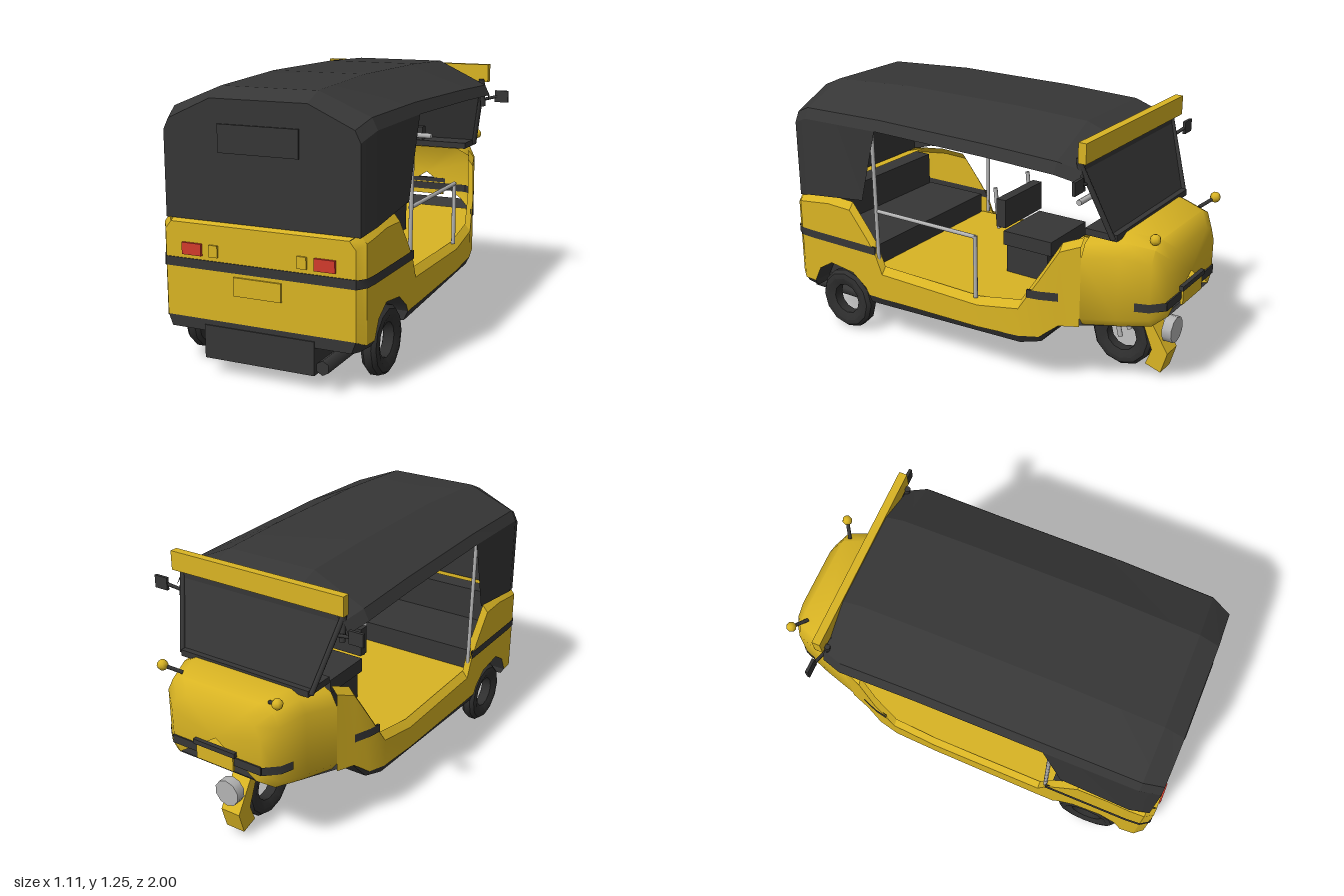
import * as THREE from 'three';
import { toCreasedNormals } from 'three/addons/utils/BufferGeometryUtils.js';

const paint = (name, color) => new THREE.MeshStandardMaterial({ name, color, side: THREE.DoubleSide });
const V = (x, y, z) => new THREE.Vector3(x, y, z);

export function createModel() {
  const model = new THREE.Group();
  model.name = 'autoRickshaw';
  const yellow = paint('bodyYellow', 0xd9b423), dark = paint('canvasDark', 0x363636);
  const rubber = paint('rubberBlack', 0x2f2f2f), red = paint('lampRed', 0xd23a2c);
  const steel = paint('steelGrey', 0xb4b4b4);

  const add = (name, geo, mat, x = 0, y = 0, z = 0) => {
    const m = new THREE.Mesh(geo, mat);
    m.name = name;
    m.position.set(x, y, z);
    model.add(m);
    return m;
  };
  // box given by its min and max on each axis
  const box = (name, mat, x0, x1, y0, y1, z0, z1) => add(name,
    new THREE.BoxGeometry(x1 - x0, y1 - y0, z1 - z0), mat, (x0 + x1) / 2, (y0 + y1) / 2, (z0 + z1) / 2);
  // skin stretched over equal-length rows of [x, y, z] points
  const skin = (name, mat, rows, crease = 0.55) => {
    const pos = [], idx = [], n = rows[0].length;
    rows.forEach(r => r.forEach(p => pos.push(...p)));
    for (let i = 0; i < rows.length - 1; i++) for (let j = 0; j < n - 1; j++) {
      const a = i * n + j, b = a + 1, d = a + n, c = d + 1;
      idx.push(a, b, c, a, c, d);
    }
    const g = new THREE.BufferGeometry();
    g.setAttribute('position', new THREE.Float32BufferAttribute(pos, 3));
    g.setIndex(idx);
    return add(name, toCreasedNormals(g, crease), mat);
  };
  // the same skin on both flanks
  const flanks = (name, mat, rows) => {
    skin(name + 'Left', mat, rows);
    skin(name + 'Right', mat, rows.map(r => r.map(([x, y, z]) => [-x, y, z]).reverse()));
  };
  const arch = half => [...half, ...half.map(([x, y, z]) => [-x, y, z]).reverse()];
  const rod = (name, mat, a, b, r = 0.01, sides = 8) => {
    const d = b.clone().sub(a);
    const m = add(name, new THREE.CylinderGeometry(r, r, d.length(), sides), mat);
    m.position.copy(a).addScaledVector(d, 0.5);
    m.quaternion.setFromUnitVectors(V(0, 1, 0), d.normalize());
    return m;
  };

  // Nose shell: [z, half width, bottom, top]
  const nose = [[-0.98, 0.24, 0.42, 0.715], [-0.93, 0.3, 0.382, 0.77], [-0.8, 0.345, 0.365, 0.79], [-0.64, 0.39, 0.348, 0.765]];
  const noseRows = nose.map(([z, w, b, t]) => arch([[w - 0.03, b, z], [w, b + 0.04, z], [w, t - 0.09, z], [w - 0.03, t - 0.03, z], [w - 0.09, t, z]]));
  skin('nose', yellow, [noseRows[0].map(() => [0, 0.56, -0.982]), ...noseRows], 0.8);

  // Side walls, dipping to the sill and arching over the rear wheels
  const wall = [[-0.64, 0.39, 0.348, 0.765], [-0.55, 0.42, 0.34, 0.73], [-0.47, 0.45, 0.275, 0.59], [-0.37, 0.47, 0.26, 0.43],
    [-0.15, 0.475, 0.245, 0.39], [0.41, 0.48, 0.235, 0.4], [0.45, 0.48, 0.235, 0.5], [0.5, 0.48, 0.235, 0.57],
    [0.52, 0.48, 0.27, 0.595], [0.6, 0.48, 0.33, 0.695], [0.74, 0.48, 0.348, 0.7], [0.82, 0.48, 0.3, 0.69],
    [0.86, 0.48, 0.22, 0.685], [0.93, 0.475, 0.22, 0.675], [0.97, 0.445, 0.24, 0.655]];
  flanks('sideWall', yellow, wall.map(([z, w, b, t]) => [[w, b, z], [w, t - 0.035, z], [w - 0.028, t, z]]));
  skin('rearWall', yellow, [0.24, 0.62, 0.655].map((y, i) => [[-0.445 + (i > 1) * 0.028, y, 0.97], [0.445 - (i > 1) * 0.028, y, 0.97]]));
  skin('rearShelf', yellow, [[[0.45, 0.685, 0.86], [-0.45, 0.685, 0.86]], [[0.417, 0.655, 0.97], [-0.417, 0.655, 0.97]]]);

  // Floor, underside and wheel wells
  skin('floor', yellow, [[-0.9, 0.27], [-0.55, 0.4], [-0.37, 0.445], [0.41, 0.455], [0.95, 0.44]].map(([z, w]) => [[w, 0.385, z], [-w, 0.385, z]]));
  skin('underside', dark, [[-0.98, 0.21, 0.42, 0], [-0.93, 0.27, 0.382, 0], [-0.55, 0.41, 0.34, 0], [-0.47, 0.45, 0.275, 0.03],
    [-0.37, 0.47, 0.26, 0.04], [0.5, 0.48, 0.235, 0.045], [0.5, 0.38, 0.235, 0.045], [0.86, 0.38, 0.235, 0.045],
    [0.86, 0.48, 0.22, 0.03], [0.94, 0.465, 0.225, 0.035], [0.97, 0.445, 0.24, 0.05]]
    .map(([z, w, y, d]) => arch([[-w, y, z], [-(w - 0.02), y - d, z]])), 0.2);
  skin('rearValance', dark, [[[-0.425, 0.19, 0.97], [0.425, 0.19, 0.97]], [[-0.445, 0.24, 0.97], [0.445, 0.24, 0.97]]]);
  flanks('wheelArch', dark, wall.slice(7, 13).map(([z, w, b]) => [[0.37, b, z], [w, b, z]]));
  box('wheelWell', dark, -0.375, 0.375, 0.2, 0.365, 0.5, 0.87);

  // Dark waist stripes, on the outer and inner faces
  for (const o of [0.004, -0.004]) {
    const band = path => path.map(([z, w]) => [[w + o, 0.46, z], [w + o, 0.5, z]]);
    flanks('rearStripe', dark, band([[0.445, 0.48], [0.86, 0.48], [0.93, 0.475], [0.97 + o, 0.445]]));
    flanks('flareStripe', dark, band([[-0.55, 0.42], [-0.47, 0.45], [-0.41, 0.462]]));
    flanks('noseStripe', dark, band([[-0.981 - o, 0.24], [-0.93, 0.3], [-0.87, 0.321]]));
  }
  box('rearStripe', dark, -0.447, 0.447, 0.46, 0.5, 0.966, 0.974);
  box('noseStripe', dark, -0.24, 0.24, 0.46, 0.5, -0.987, -0.979);

  // Canvas roof: [z, half width, edge height, crown height]
  const roof = [[-0.66, 0.46, 1.04, 1.2], [-0.56, 0.495, 1.07, 1.235], [-0.2, 0.49, 1.08, 1.248], [0.4, 0.49, 1.09, 1.25],
    [0.85, 0.485, 1.08, 1.225], [0.945, 0.455, 1.04, 1.183]]
    .map(([z, w, e, c]) => arch([[w, e, z], [w - 0.025, e + 0.05, z], [0.225, c, z]]));
  skin('roof', dark, roof, 0.2);
  flanks('sideCurtain', dark, [[[0.484, 0.73, 0.51], [0.49, 1.09, 0.41]], [[0.484, 0.69, 0.85], [0.485, 1.08, 0.85]], [[0.455, 0.665, 0.945], [0.455, 1.04, 0.945]]]);
  const back = new THREE.Shape([[-0.455, 0.665], [0.455, 0.665], [0.455, 1.04], [0.43, 1.09], [0.225, 1.183], [-0.225, 1.183], [-0.43, 1.09], [-0.455, 1.04]]
    .map(p => new THREE.Vector2(...p)));
  add('rearCurtain', new THREE.ShapeGeometry(back), dark, 0, 0, 0.945);
  box('rearWindow', dark, -0.187, 0.187, 0.96, 1.08, 0.945, 0.954);

  // Windscreen, header board and cowl
  skin('windscreen', dark, [[[0.35, 0.78, -0.765], [-0.35, 0.78, -0.765]], [[0.425, 1.13, -0.645], [-0.425, 1.13, -0.645]]]);
  skin('headerPanel', dark, [[[0.41, 1.04, -0.66], [-0.41, 1.04, -0.66]], [[0.41, 1.17, -0.66], [-0.41, 1.17, -0.66]]]);
  box('headerBoard', yellow, -0.455, 0.455, 1.125, 1.215, -0.688, -0.65);
  box('cowl', dark, -0.345, 0.345, 0.77, 0.8, -0.785, -0.63);
  box('instrumentPod', dark, -0.1, 0.1, 0.79, 0.87, -0.69, -0.64);

  for (const s of [-1, 1]) {
    rod('windscreenPillar', dark, V(s * 0.35, 0.78, -0.77), V(s * 0.43, 1.12, -0.645), 0.012);
    // Mirrors and indicators
    box('mirror', dark, s * 0.52 - 0.035, s * 0.52 + 0.035, 1.02, 1.08, -0.697, -0.683);
    rod('mirrorArm', dark, V(s * 0.42, 1.03, -0.67), V(s * 0.5, 1.05, -0.69), 0.008);
    rod('mirrorBracket', dark, V(s * 0.43, 1.0, -0.66), V(s * 0.425, 1.14, -0.64), 0.014);
    rod('indicatorStalk', dark, V(s * 0.235, 0.77, -0.9), V(s * 0.3, 0.8, -0.94), 0.009);
    add('indicator', new THREE.SphereGeometry(0.025, 8, 6), yellow, s * 0.308, 0.805, -0.945);
    // Tail lamps
    box('tailLamp', red, s * 0.312 - 0.047, s * 0.312 + 0.047, 0.518, 0.57, 0.968, 0.982);
    box('rearReflector', yellow, s * 0.208 - 0.021, s * 0.208 + 0.021, 0.518, 0.57, 0.968, 0.979);
    // Roof posts and seat posts
    rod('roofPost', steel, V(s * 0.462, 0.39, 0.44), V(s * 0.472, 1.1, 0.44));
    rod('seatPost', steel, V(s * 0.14, 0.6, -0.045), V(s * 0.14, 0.8, -0.025));
  }

  // Passenger rail on one side only
  rod('sideRail', steel, V(0.462, 0.685, 0.44), V(0.462, 0.685, -0.135));
  rod('sideRailPost', steel, V(0.462, 0.385, -0.135), V(0.462, 0.69, -0.135));

  // Seats
  box('driverSeatBase', dark, -0.14, 0.14, 0.385, 0.53, -0.32, -0.09);
  box('driverSeat', dark, -0.16, 0.16, 0.53, 0.6, -0.35, -0.085);
  box('driverBackrest', dark, -0.16, 0.16, 0.615, 0.755, -0.095, -0.045);
  box('passengerSeat', dark, -0.44, 0.44, 0.385, 0.49, 0.47, 0.92);
  box('passengerBackrest', dark, -0.43, 0.43, 0.49, 0.66, 0.82, 0.92);

  // Steering
  rod('steeringColumn', steel, V(0, 0.4, -0.6), V(0, 0.82, -0.52), 0.015);
  rod('handlebar', steel, V(-0.2, 0.845, -0.515), V(0.2, 0.845, -0.515), 0.014);

  // Number plates and nose trim
  box('rearPlate', yellow, -0.112, 0.112, 0.363, 0.444, 0.968, 0.979);
  box('nosePlate', yellow, -0.1, 0.1, 0.435, 0.505, -0.995, -0.982);
  box('noseTrim', dark, -0.112, 0.112, 0.505, 0.528, -1, -0.98);

  // Wheels
  const tyre = new THREE.LatheGeometry([[0.078, -0.025], [0.115, -0.04], [0.14, -0.035], [0.155, -0.018], [0.155, 0.018],
    [0.14, 0.035], [0.115, 0.04], [0.078, 0.025], [0.078, -0.025]].map(p => new THREE.Vector2(...p)), 12);
  tyre.rotateZ(Math.PI / 2);
  const tyreGeo = toCreasedNormals(tyre, 0.6);
  for (const [n, x, z] of [['frontWheel', 0, -0.665], ['rearWheelLeft', 0.43, 0.675], ['rearWheelRight', -0.43, 0.675]])
    add(n, tyreGeo, rubber, x, 0.157, z);
  for (const s of [-1, 1]) rod('frontFork', steel, V(s * 0.045, 0.36, -0.62), V(s * 0.045, 0.16, -0.67), 0.012);

  // Front mudguard, extruded across the wheel
  const guard = new THREE.Shape([[0.7, 0.35], [0.82, 0.29], [0.915, 0.14], [0.885, 0.035], [0.805, 0.06], [0.835, 0.14], [0.79, 0.25], [0.7, 0.32]]
    .map(p => new THREE.Vector2(...p)));
  const guardGeo = new THREE.ExtrudeGeometry(guard, { depth: 0.1, bevelEnabled: false });
  guardGeo.translate(0, 0, -0.05).rotateY(Math.PI / 2);
  add('frontMudguard', guardGeo, yellow);

  // Headlamp, engine and exhaust
  rod('headlamp', steel, V(0, 0.25, -0.885), V(0, 0.25, -0.932), 0.064, 10);
  box('engineBox', dark, -0.26, 0.26, 0.07, 0.217, 0.56, 0.975);
  rod('exhaust', dark, V(0.311, 0.121, 0.67), V(0.311, 0.121, 1), 0.032, 6);
  return model;
}
